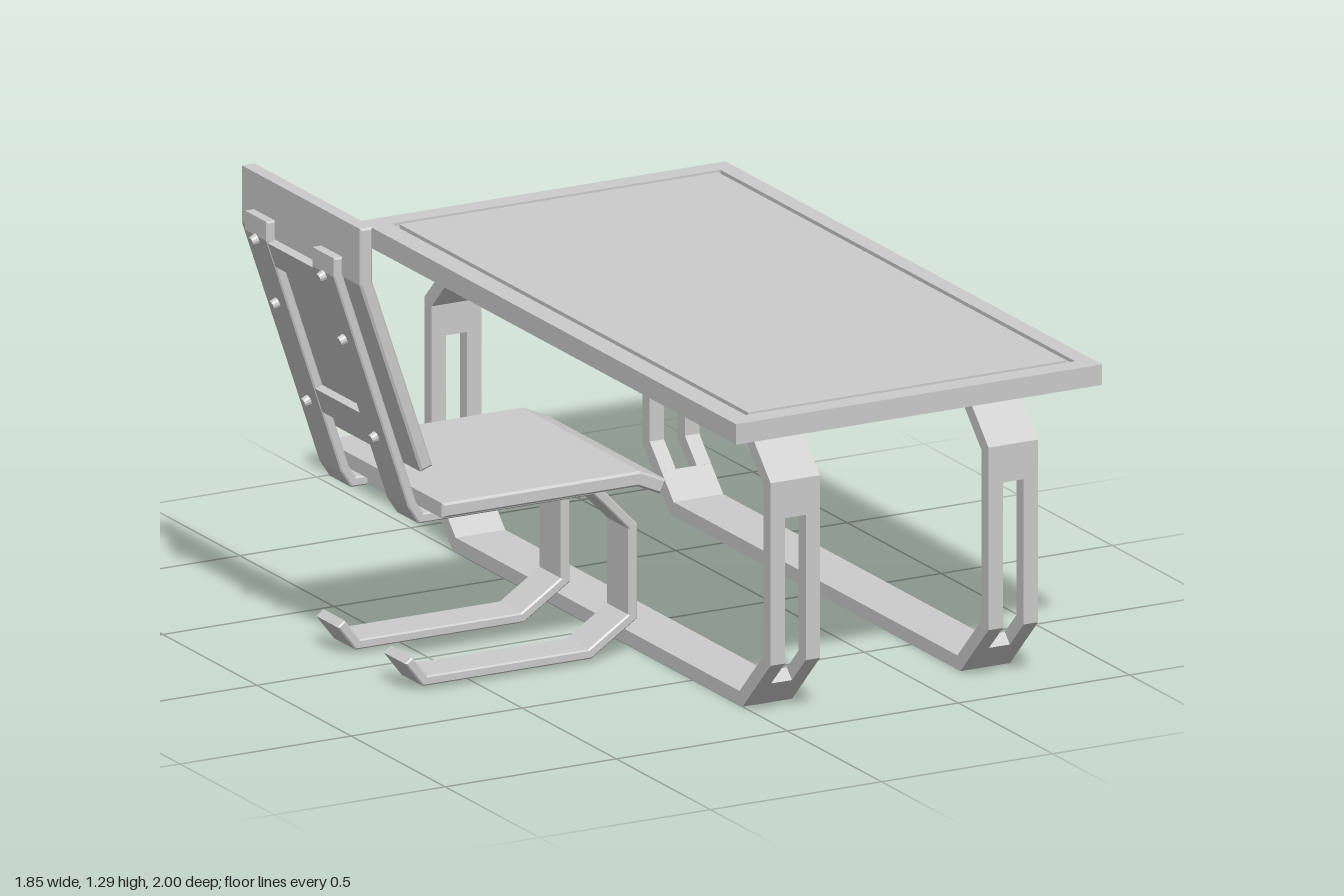
import * as THREE from 'three';

const material = new THREE.MeshStandardMaterial({ color: 0xcccccc, flatShading: true });

function addMesh(parent, name, geometry) {
  const mesh = new THREE.Mesh(geometry, material);
  mesh.name = name;
  parent.add(mesh);
  return mesh;
}

function addBox(parent, name, x0, x1, y0, y1, z0, z1) {
  const box = addMesh(parent, name, new THREE.BoxGeometry(x1 - x0, y1 - y0, z1 - z0));
  box.position.set((x0 + x1) / 2, (y0 + y1) / 2, (z0 + z1) / 2);
  return box;
}

// Bent flat bar: a centre line thickened with mitred corners, extruded from d0 to d1
function bentBar(points, thickness, d0, d1, bevel = 0) {
  const p = points.map(([x, y]) => new THREE.Vector2(x, y));
  const normals = p.slice(1).map((b, i) => {
    const d = b.clone().sub(p[i]).normalize();
    return new THREE.Vector2(-d.y, d.x);
  });
  const side = (s) => p.map((q, i) => {
    const a = normals[Math.max(i - 1, 0)];
    const b = normals[Math.min(i, normals.length - 1)];
    const m = a.clone().add(b).normalize();
    return q.clone().addScaledVector(m, (s * thickness) / 2 / m.dot(a));
  });
  const shape = new THREE.Shape([...side(1), ...side(-1).reverse()]);
  const geometry = new THREE.ExtrudeGeometry(shape, {
    depth: d1 - d0 - 2 * bevel,
    bevelEnabled: bevel > 0,
    bevelThickness: bevel,
    bevelSize: bevel,
    bevelOffset: -bevel,
    bevelSegments: 1,
  });
  return geometry.translate(0, 0, d0 + bevel);
}

// Tabletop: rim, recessed groove floor and inner panel
function createTabletop() {
  const top = new THREE.Group();
  top.name = 'tabletop';
  const [gx0, gx1, gz] = [-0.09, 0.873, 0.942];
  const rect = (path, x0, x1, z) =>
    path.moveTo(x0, -z).lineTo(x1, -z).lineTo(x1, z).lineTo(x0, z).closePath();
  const rim = rect(new THREE.Shape(), -0.15, 0.92, 1);
  rim.holes.push(rect(new THREE.Path(), gx0, gx1, gz));
  const geometry = new THREE.ExtrudeGeometry(rim, { depth: 0.055, bevelEnabled: false });
  addMesh(top, 'tabletopRim', geometry.rotateX(-Math.PI / 2).translate(0, 0.79, 0));
  addBox(top, 'tabletopBase', gx0, gx1, 0.79, 0.835, -gz, gz);
  addBox(top, 'tabletopPanel', gx0 + 0.016, gx1 - 0.016, 0.835, 0.845, -gz + 0.016, gz - 0.016);
  return top;
}

// Octagonal leg loop with a slot in each upright
function createTableLeg(x, width) {
  const leg = new THREE.Group();
  leg.name = 'tableLeg';
  const t = 0.038;
  const slotTop = [0.9, 0.54];
  const slotEnd = [0.832, 0.09];
  const mirror = ([a, b]) => [-a, b];
  const upper = [slotTop, [0.9, 0.632], [0.762, 0.771]];
  const lower = [slotEnd, [0.762, 0.019]];
  const upright = [slotTop, [0.9, 0.158], slotEnd];
  const loop = (half) => [...half, ...half.map(mirror).reverse()];
  addMesh(leg, 'legTopBand', bentBar(loop(upper), t, 0, width));
  addMesh(leg, 'legBottomBand', bentBar(loop(lower), t, 0, width));
  for (const path of [upright, upright.map(mirror).reverse()]) {
    addMesh(leg, 'legSlotSide', bentBar(path, t, 0, 0.042));
    addMesh(leg, 'legSlotSide', bentBar(path, t, width - 0.042, width));
  }
  leg.rotation.y = Math.PI / 2;
  leg.position.set(x, 0, -0.008);
  return leg;
}

function createChair() {
  const chair = new THREE.Group();
  chair.name = 'chair';
  chair.position.z = 0.006;

  // Seat and backrest boards
  const seat = [[-0.635, 0.5], [-0.06, 0.5], [0.012, 0.468]];
  const back = [[-0.857, 1.292], [-0.857, 1.143], [-0.68, 0.62]];
  addMesh(chair, 'seat', bentBar(seat, 0.04, -0.318, 0.318, 0.006));
  addMesh(chair, 'backrest', bentBar(back, 0.037, -0.318, 0.318, 0.006));

  // Two bent runners carrying seat and back
  const runner = [
    [-0.69, 0.086], [-0.642, 0.024], [-0.16, 0.024], [-0.035, 0.106], [-0.035, 0.348],
    [-0.143, 0.462], [-0.654, 0.462], [-0.679, 0.5], [-0.896, 1.148], [-0.896, 1.197],
  ];
  const bottom = new THREE.Vector2(-0.679, 0.5);
  const slope = new THREE.Vector2(-0.896, 1.148).sub(bottom).normalize();
  const backPoint = (y) => bottom.clone().addScaledVector(slope, (y - bottom.y) / slope.y);
  const backTilt = Math.atan2(slope.y, slope.x);

  for (const z of [-0.179, 0.179]) {
    addMesh(chair, 'runner', bentBar(runner, 0.026, z - 0.06, z + 0.06, 0.004));
    // Bolts under the seat
    for (const x of [-0.58, -0.387, -0.19]) {
      const bolt = addMesh(chair, 'seatBolt', new THREE.CylinderGeometry(0.016, 0.012, 0.024, 12));
      bolt.position.set(x, 0.443, z);
    }
    // Bolts behind the back
    for (const y of [1.14, 0.96, 0.685]) {
      const bolt = addMesh(chair, 'backBolt', new THREE.CylinderGeometry(0.012, 0.016, 0.024, 12));
      const p = backPoint(y);
      bolt.position.set(p.x - slope.y * 0.019, p.y + slope.x * 0.019, z);
      bolt.rotation.z = backTilt;
    }
  }

  // Cross bars joining the runners
  for (const y of [1.11, 0.7]) {
    const p = backPoint(y);
    const bar = addMesh(chair, 'backCrossBar', new THREE.BoxGeometry(0.07, 0.022, 0.25));
    bar.position.set(p.x, p.y, 0);
    bar.rotation.z = backTilt;
  }
  for (const x of [-0.58, -0.19]) {
    addBox(chair, 'seatCrossBar', x - 0.035, x + 0.035, 0.451, 0.473, -0.125, 0.125);
  }
  return chair;
}

export function createModel() {
  const model = new THREE.Group();
  model.name = 'deskAndChair';
  model.add(createTabletop(), createTableLeg(0, 0.145), createTableLeg(0.637, 0.145), createChair());
  return model;
}
